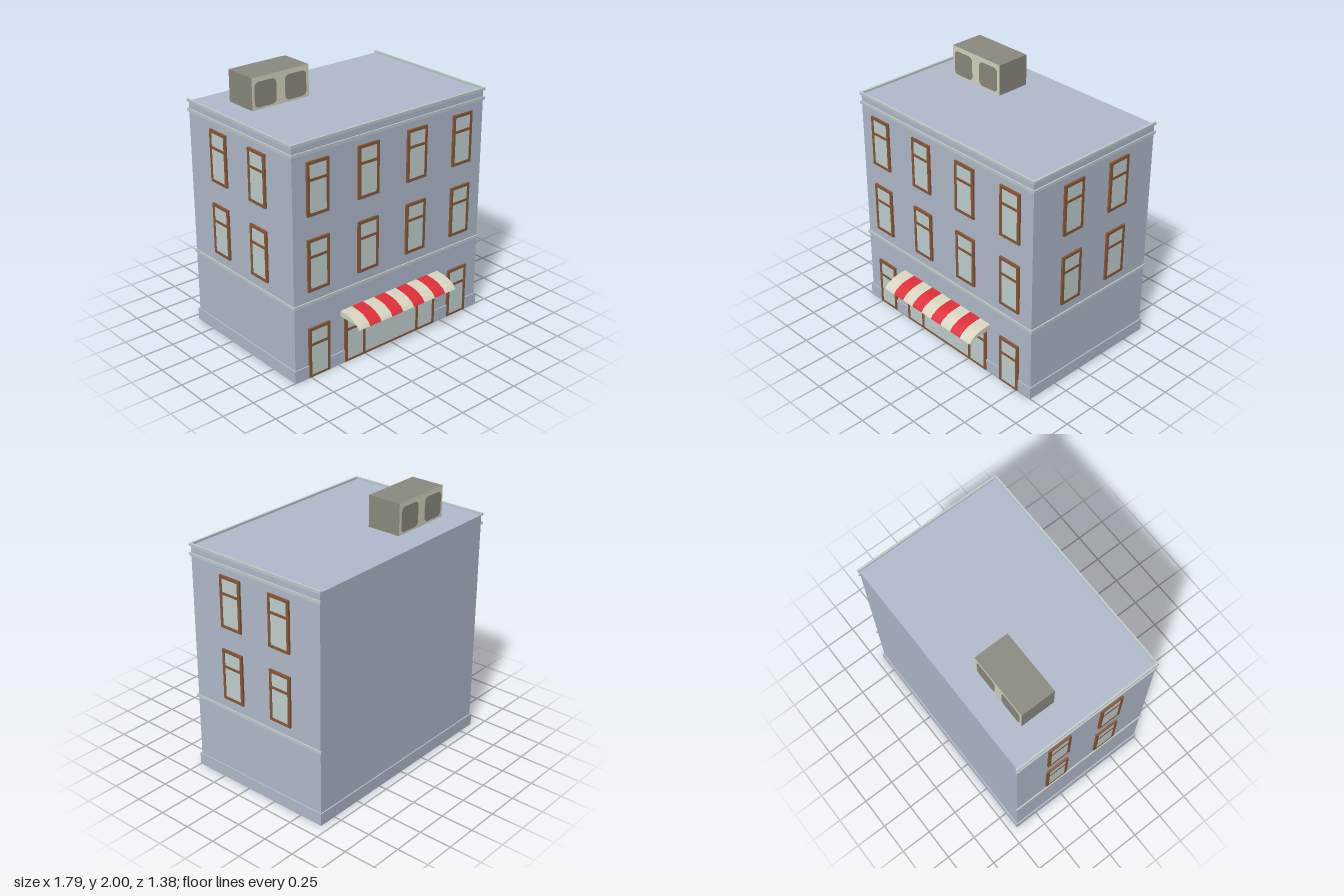
import * as THREE from 'three';

const mat = (name, color, side = THREE.FrontSide) => {
  const m = new THREE.MeshStandardMaterial({ color, side });
  m.name = name;
  return m;
};

export function createModel() {
  const wall = mat('wallBlue', 0xb2bccd, THREE.DoubleSide);
  const trim = mat('trimPale', 0xbfcbcc);
  const wood = mat('frameBrown', 0x8a5837);
  const glass = mat('glass', 0xc2d2d2);
  const cream = mat('cream', 0xd8d6c0, THREE.DoubleSide);
  const red = mat('red', 0xdf2f38, THREE.DoubleSide);
  const gray = mat('unitGray', 0x8c8b80);

  const model = new THREE.Group();
  model.name = 'building';
  const add = (name, geometry, material, parent = model) => {
    const mesh = new THREE.Mesh(geometry, material);
    mesh.name = name;
    parent.add(mesh);
    return mesh;
  };

  const HX = 0.88, ZF = 0.492, ZB = -0.68, TOP = 1.762, LIP = 0.01;

  // Closed outline from corner points
  const outline = (pts, Type = THREE.Shape) => new Type(pts.map(([x, y]) => new THREE.Vector2(x, y)));
  const rect = (x0, y0, x1, y1, Type) => outline([[x0, y0], [x1, y0], [x1, y1], [x0, y1]], Type);
  const extrude = (shape, depth) =>
    new THREE.ExtrudeGeometry(shape, { depth, bevelEnabled: false, curveSegments: 6 });

  // Walls and roof: a box without its floor
  const shell = new THREE.BoxGeometry(2 * HX, TOP, ZF - ZB);
  shell.clearGroups();
  shell.setIndex(Array.from(shell.index.array).filter((_, i) => i < 18 || i > 23));
  shell.translate(0, TOP / 2, (ZF + ZB) / 2);
  add('wallsAndRoof', shell, wall);

  // Plinth all round the foot
  const plinth = rect(-HX - LIP, -ZF - LIP, HX + LIP, -ZB + LIP);
  plinth.holes.push(rect(-HX, -ZF, HX, -ZB, THREE.Path));
  add('plinth', extrude(plinth, 0.095).rotateX(-Math.PI / 2), wall);

  // Mouldings along the front and both sides, open at the back
  const o = HX + LIP, n = HX - 0.006, back = -ZB + LIP;
  const band = outline([[-o, back], [-o, -ZF - LIP], [o, -ZF - LIP], [o, back],
    [n, back], [n, -ZF + 0.006], [-n, -ZF + 0.006], [-n, back]]);
  const bandBack = outline([[-o, back], [-o, -ZF - LIP], [o, -ZF - LIP], [o, back],
    [HX, back], [HX, -ZF], [-HX, -ZF], [-HX, back]]);
  [['stringCourse', 0.575, 0.023, bandBack], ['lowerCornice', 1.686, 0.023, bandBack],
    ['roofRim', 1.757, 0.021, band]].forEach(([name, y, h, shape]) => {
    add(name, extrude(shape, h).rotateX(-Math.PI / 2).translate(0, y, 0), trim);
  });

  // Framed opening: bottom centre at the origin, facing +z, panes are cut out
  const T = 0.022;
  const framed = (name, w, h, panes) => {
    const group = new THREE.Group();
    group.name = name;
    const shape = rect(-w / 2, 0, w / 2, h);
    panes.forEach((p) => shape.holes.push(rect(...p, THREE.Path)));
    add('frame', extrude(shape, 0.015), wood, group);
    add('glass', new THREE.PlaneGeometry(w - T, h - T / 2).translate(0, h / 2, 0.0115), glass, group);
    model.add(group);
    return group;
  };
  const W = 0.188;
  const twoPanes = (x0, x1, h, bottom = T) => [
    [x0, bottom, x1, h - 0.142],
    [x0, h - 0.122, x1, h - T],
  ];
  const casement = (name, h, bottom) =>
    framed(name, W, h, twoPanes(-W / 2 + T, W / 2 - T, h, bottom));

  // Upper windows on the front and sides
  for (const y of [0.675, 1.238]) {
    for (const x of [-0.67, -0.225, 0.225, 0.67]) {
      casement('frontWindow', 0.393).position.set(x, y, ZF);
    }
    for (const s of [-1, 1]) {
      for (const z of [0.12, -0.325]) {
        const win = casement('sideWindow', 0.393);
        win.position.set(s * HX, y, z);
        win.rotation.y = s * Math.PI / 2;
      }
    }
  }

  // Doors and shop front
  for (const s of [-1, 1]) casement('door', 0.39, 0.015).position.set(s * 0.67, 0, ZF);
  framed('shopFront', 0.876, 0.39, [
    ...twoPanes(-0.438 + T, -0.27, 0.39, 0.015),
    [-0.248, 0.015, 0.248, 0.39 - T],
    ...twoPanes(0.27, 0.438 - T, 0.39, 0.015),
  ]).position.z = ZF;

  // Striped awning: each strip follows one curved section (z, y)
  const awning = new THREE.Group();
  awning.name = 'awning';
  model.add(awning);
  const section = [[0.49, 0.425], [0.56, 0.42], [0.61, 0.41], [0.669, 0.38], [0.69, 0.35]];
  const half = 0.47, strip = 2 * half / 9;
  for (let i = 0; i < 9; i++) {
    const g = new THREE.PlaneGeometry(strip, 1, 1, section.length - 1);
    const p = g.attributes.position;
    for (let v = 0; v < p.count; v++) {
      const [z, y] = section[Math.floor(v / 2)];
      p.setXYZ(v, p.getX(v) - half + strip * (i + 0.5), y, z);
    }
    g.computeVertexNormals();
    add('awningStripe', g, i % 2 ? red : cream, awning);
  }
  const cheek = outline([[0.49, 0.38], [0.669, 0.38], [0.61, 0.41], [0.56, 0.42], [0.49, 0.425]]);
  for (const s of [-1, 1]) {
    add('awningEnd', new THREE.ShapeGeometry(cheek).rotateY(-Math.PI / 2).translate(s * half, 0, 0),
      cream, awning);
  }

  // Roof ventilation unit with pale front and back, and two grilles on each
  const unit = new THREE.Group();
  unit.name = 'roofUnit';
  unit.position.set(-0.42, TOP, -0.345);
  model.add(unit);
  const H = 2 - TOP;
  add('unitCase', new THREE.BoxGeometry(0.496, H, 0.27).translate(0, H / 2, 0),
    [gray, gray, gray, gray, cream, cream], unit);
  const a = 0.093, r = 0.035;
  const grille = new THREE.Shape();
  grille.absarc(a - r, a - r, r, 0, Math.PI / 2);
  grille.absarc(r - a, a - r, r, Math.PI / 2, Math.PI);
  grille.absarc(r - a, r - a, r, Math.PI, Math.PI * 1.5);
  grille.absarc(a - r, r - a, r, Math.PI * 1.5, Math.PI * 2);
  for (const side of [0, Math.PI]) {
    for (const x of [-0.134, 0.13]) {
      const g = extrude(grille, 0.003).translate(0, 0, 0.135).rotateY(side);
      add('grille', g, gray, unit).position.set(x, 0.11, 0);
    }
  }

  return model;
}
